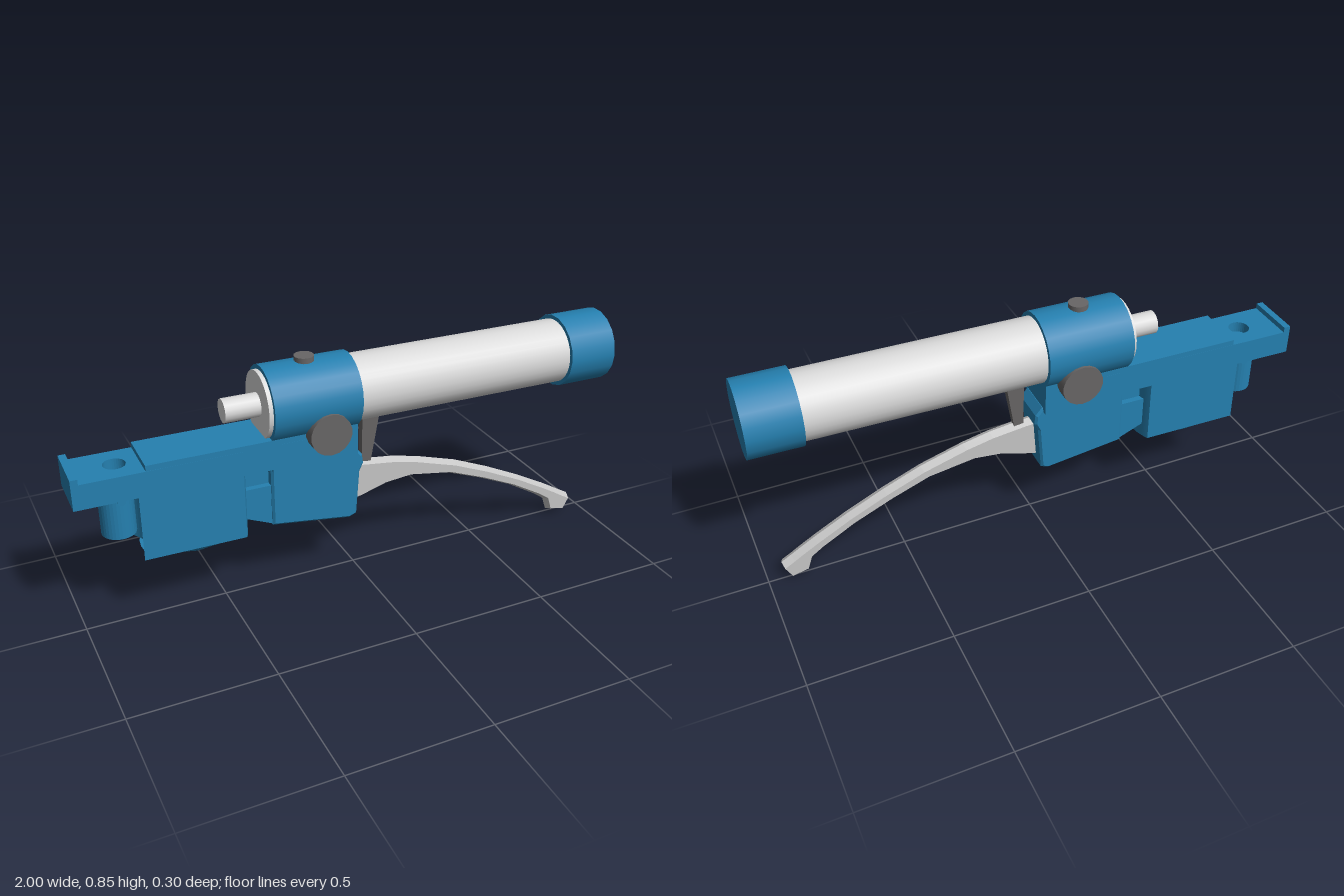
import * as THREE from 'three';

const mat = (name, color, side = THREE.FrontSide) =>
  Object.assign(new THREE.MeshStandardMaterial({ color, side }), { name });

export function createModel() {
  const blue = mat('blue', 0x2580b0);
  const light = mat('light grey', 0xdadada);
  const steel = mat('lever grey', 0xc6c6c6);
  const dark = mat('dark grey', 0x686666);
  const model = new THREE.Group();
  model.name = 'leverTool';

  const add = (name, geo, m, x = 0, y = 0, z = 0) => {
    const mesh = new THREE.Mesh(geo, m);
    mesh.name = name;
    mesh.position.set(x, y, z);
    model.add(mesh);
    return mesh;
  };
  const box = (name, x0, x1, y0, y1, half, m = blue) =>
    add(name, new THREE.BoxGeometry(x1 - x0, y1 - y0, half * 2), m, (x0 + x1) / 2, (y0 + y1) / 2);
  // cylinder lying along x on the barrel axis
  const rod = (name, x0, x1, r, m, seg = 32) =>
    add(name, new THREE.CylinderGeometry(r, r, x1 - x0, seg).rotateZ(-Math.PI / 2), m, (x0 + x1) / 2, 0.707);
  const outline = (pts) => new THREE.Shape(pts.map(([x, y]) => new THREE.Vector2(x, y)));
  // side profile extruded symmetrically in z
  const side = (name, pts, half, m, bevel = 0) =>
    add(name, new THREE.ExtrudeGeometry(outline(pts), {
      depth: 2 * (half - bevel), bevelEnabled: bevel > 0, bevelSize: bevel,
      bevelThickness: bevel, bevelOffset: -bevel, bevelSegments: 1,
    }).translate(0, 0, -half + bevel), m);
  // plan shape (x, z) extruded upward from y0 to y1
  const plan = (name, shape, y0, y1, m) =>
    add(name, new THREE.ExtrudeGeometry(shape, { depth: y1 - y0, bevelEnabled: false, curveSegments: 16 })
      .rotateX(-Math.PI / 2), m, 0, y0);
  const hole = (x, r) => new THREE.Path().absarc(x, 0, r, 0, Math.PI * 2, true);

  // barrel, end cap, collar and rear rod
  rod('barrel', -0.345, 0.83, 0.118, light);
  rod('endCap', 0.815, 1.0, 0.133, blue, 18);
  rod('collar', -0.33, -0.015, 0.134, blue, 24);
  rod('rearRod', -0.47, -0.34, 0.042, light, 16);
  box('collarBase', -0.33, -0.017, 0.49, 0.66, 0.092);

  // bolts on the collar
  add('sideBolt', new THREE.CylinderGeometry(0.075, 0.075, 0.282, 18).rotateX(Math.PI / 2), dark, -0.135, 0.612);
  add('topBolt', new THREE.CylinderGeometry(0.035, 0.035, 0.06, 14), dark, -0.175, 0.826);

  // rail with a blind hole and raised steps
  const rail = outline([[-1, -0.094], [-0.02, -0.092], [-0.02, 0.092], [-1, 0.094]]);
  rail.holes.push(hole(-0.84, 0.038));
  plan('rail', rail, 0.5, 0.59, blue);
  box('railStep', -0.76, -0.3, 0.58, 0.61, 0.0925);
  box('railLip', -1, -0.975, 0.58, 0.61, 0.094);
  add('holeFloor', new THREE.CylinderGeometry(0.039, 0.039, 0.01, 20), blue, -0.84, 0.545);

  // short socket under the rail
  const ring = new THREE.Shape().absarc(-0.847, 0, 0.059, 0, Math.PI * 2, false);
  ring.holes.push(hole(-0.847, 0.036));
  plan('socket', ring, 0.34, 0.505, blue);
  for (const s of [-1, 1])
    add('socketPin', new THREE.CylinderGeometry(0.014, 0.014, 0.012, 12).rotateX(Math.PI / 2), blue, -0.84, 0.48, s * 0.058);

  // drum: round at the front, flat sides, scooped at the rear
  const cut = Math.asin(0.09 / 0.19);
  const drum = new THREE.Shape();
  drum.moveTo(-0.79, -0.09);
  drum.absarc(-0.6, 0, 0.19, -cut, cut, false);
  drum.lineTo(-0.79, 0.09);
  drum.quadraticCurveTo(-0.72, 0, -0.79, -0.09);
  plan('drum', drum, 0.26, 0.505, blue);
  const dish = new THREE.CylinderGeometry(0.18, 0.07, 0.022, 32);
  const dp = dish.attributes.position;
  for (let i = 0; i < dp.count; i++) dp.setZ(i, THREE.MathUtils.clamp(dp.getZ(i), -0.088, 0.088));
  dish.computeVertexNormals();
  add('drumBottom', dish, blue, -0.6, 0.25);

  // web and lever housing
  side('web', [[-0.46, 0.33], [-0.32, 0.27], [-0.32, 0.425], [-0.46, 0.425]], 0.062, blue);
  box('webTop', -0.46, -0.32, 0.42, 0.505, 0.04);
  side('leverHousing', [[-0.33, 0.505], [-0.33, 0.27], [-0.04, 0.231], [-0.012, 0.242], [0.0, 0.41],
    [0.014, 0.44], [0.01, 0.475], [-0.015, 0.505]], 0.073, blue, 0.008);

  // lever: six-sided cross-sections, each row [xTop, yTop, xBottom, yBottom]
  const rows = [[-0.01, 0.425, -0.01, 0.262], [0.03, 0.422, 0.03, 0.272], [0.16, 0.405, 0.12, 0.302],
    [0.26, 0.382, 0.22, 0.313], [0.42, 0.333, 0.39, 0.285], [0.56, 0.274, 0.53, 0.232],
    [0.7, 0.207, 0.67, 0.17], [0.82, 0.143, 0.79, 0.1], [0.88, 0.108, 0.832, 0.07],
    [0.91, 0.09, 0.85, 0.018], [0.945, 0.07, 0.91, 0.003]];
  const sections = rows.map(([xt, yt, xb, yb]) => {
    const at = (t, z) => [xt + (xb - xt) * t, yt + (yb - yt) * t, z];
    const k = Math.min(0.25, 0.014 / Math.hypot(xt - xb, yt - yb));
    return [at(0, 0), at(k, 0.026), at(1 - k, 0.026), at(1, 0), at(1 - k, -0.026), at(k, -0.026)];
  });
  const tri = [];
  for (let i = 0; i < sections.length - 1; i++)
    for (let j = 0; j < 6; j++) {
      const n = (j + 1) % 6, [a, b] = [sections[i], sections[i + 1]];
      tri.push(a[j], a[n], b[n], a[j], b[n], b[j]);
    }
  const last = sections.at(-1);
  for (let j = 1; j < 5; j++) tri.push(last[0], last[j], last[j + 1]);
  const lever = new THREE.BufferGeometry();
  lever.setAttribute('position', new THREE.Float32BufferAttribute(tri.flat(), 3));
  lever.computeVertexNormals();
  steel.side = THREE.DoubleSide;
  add('lever', lever, steel);

  // link between barrel and lever, narrowing downward
  const link = new THREE.BoxGeometry(1, 0.2, 1);
  const lp = link.attributes.position;
  for (let i = 0; i < lp.count; i++) {
    const top = lp.getY(i) > 0;
    lp.setX(i, lp.getX(i) > 0 ? (top ? 0.1 : 0.068) : 0.033);
    lp.setZ(i, Math.sign(lp.getZ(i)) * (top ? 0.019 : 0.012));
  }
  link.computeVertexNormals();
  add('link', link, dark, 0, 0.505);

  // the whole tool sits at a slight angle
  model.rotation.y = -0.02;
  model.position.z = -0.01;
  const root = new THREE.Group();
  root.name = 'tool';
  root.add(model);
  return root;
}
